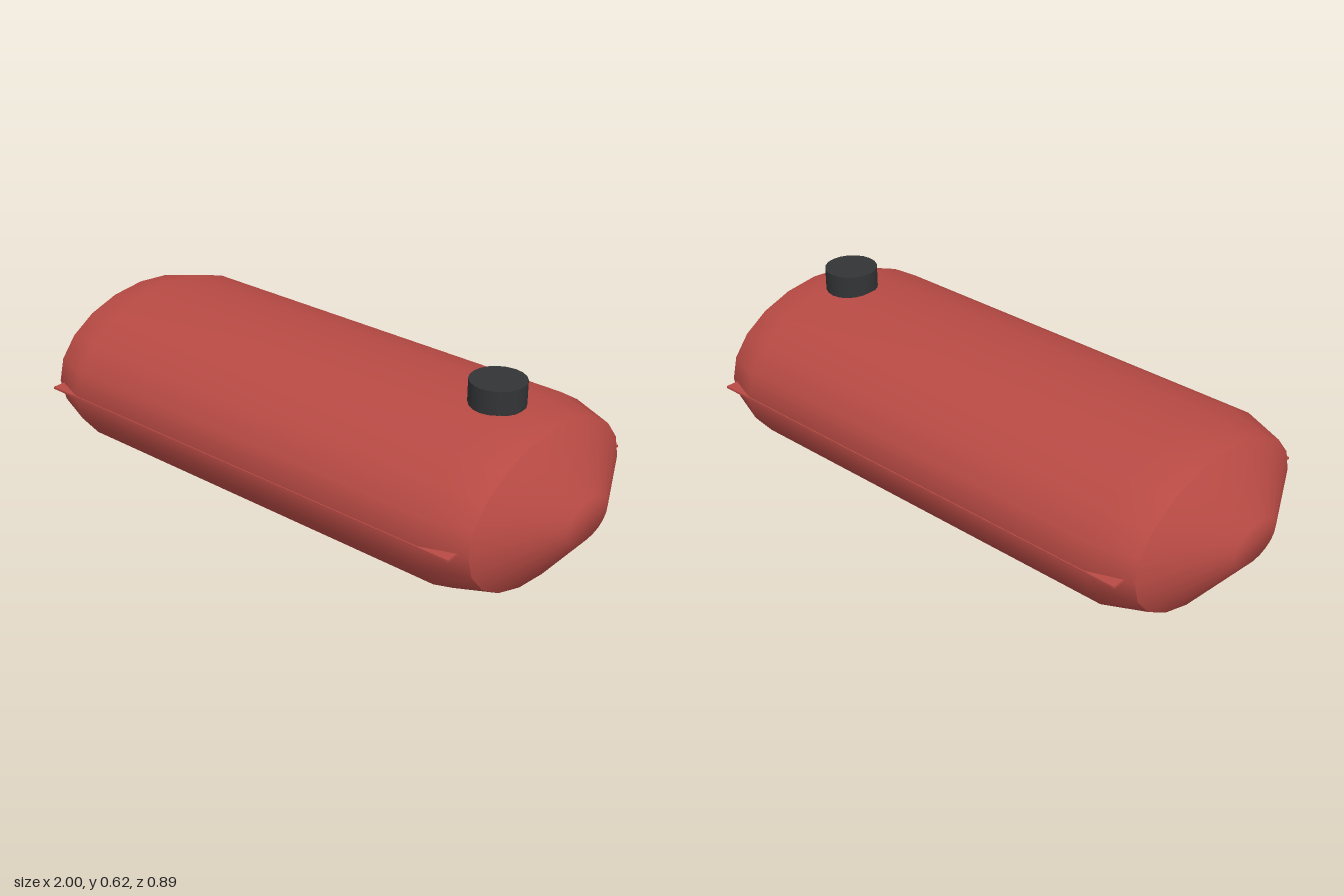
import * as THREE from 'three';

const RY = 0.277, RZ = 0.443, CY = 0.278, SIDES = 20;

export function createModel() {
  const model = new THREE.Group();
  const red = new THREE.MeshStandardMaterial({ color: 0xb84a44 });
  const dark = new THREE.MeshStandardMaterial({ color: 0x333436 });

  const add = (name, geometry, material, x, y, z) => {
    const mesh = new THREE.Mesh(geometry, material);
    mesh.name = name;
    mesh.position.set(x, y, z);
    model.add(mesh);
    return mesh;
  };

  // Profile of [radius ratio, position along x], turned into an oval section
  const oval = (profile) => {
    const pts = profile.map(([r, x]) => new THREE.Vector2(r, x));
    return new THREE.LatheGeometry(pts, SIDES)
      .rotateZ(-Math.PI / 2)
      .scale(1, RY, RZ);
  };

  // Long oval barrel with tapered shoulders
  add('tankBarrel', oval([[0.88, -0.86], [1, -0.72], [1, 0.72], [0.88, 0.86]]), red, 0, CY, 0);

  // Dished ends, mirrored by a half turn
  for (const side of [1, -1]) {
    const end = add(side > 0 ? 'leftEnd' : 'rightEnd',
      oval([[0.88, 0.86], [0.243, 1], [0, 1]]), red, 0, CY, 0);
    if (side < 0) end.rotation.y = Math.PI;
  }

  // Thin seam flange around the middle
  add('seamFlange', new THREE.BoxGeometry(1.66, 0.007, 0.89), red, 0, CY + 0.002, 0);

  // Filler cap on top
  add('fillerCap', new THREE.CylinderGeometry(0.088, 0.088, 0.1, 20), dark, 0.665, 0.574, 0);

  return model;
}
